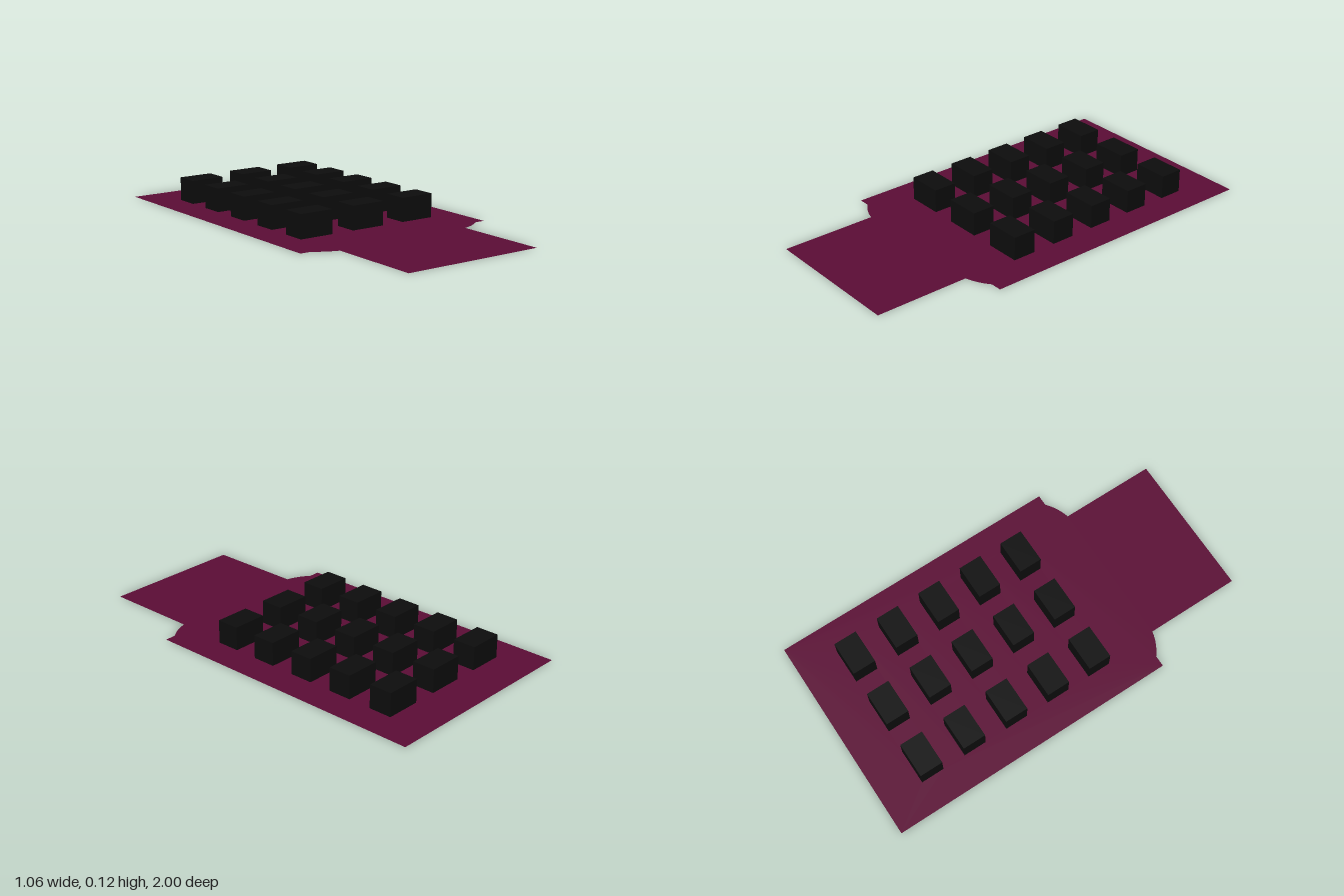
import * as THREE from 'three';

const BLOCK = { w: 0.176, h: 0.117, d: 0.117 };
const COLUMNS = [-0.294, 0, 0.294];
const ROWS = [-0.735, -0.501, -0.268, -0.034, 0.2];

// Outline drawn with shape y = -z, then laid flat
function floorGeometry() {
  const s = new THREE.Shape();
  s.moveTo(-0.532, 1);
  s.lineTo(-0.532, -0.468);
  s.lineTo(-0.477, -0.468);
  s.quadraticCurveTo(-0.427, -0.51, -0.363, -0.526); // rounded shoulder
  s.lineTo(-0.363, -1);
  s.lineTo(0.363, -1);
  s.lineTo(0.363, -0.526);
  s.quadraticCurveTo(0.427, -0.51, 0.477, -0.468);
  s.lineTo(0.532, -0.468);
  s.lineTo(0.532, 1);
  s.closePath();

  // Openings where the blocks stand, so their undersides stay visible
  for (const x of COLUMNS) for (const z of ROWS) {
    const hw = BLOCK.w / 2, hd = BLOCK.d / 2;
    s.holes.push(new THREE.Path([
      new THREE.Vector2(x - hw, -z - hd),
      new THREE.Vector2(x - hw, -z + hd),
      new THREE.Vector2(x + hw, -z + hd),
      new THREE.Vector2(x + hw, -z - hd),
    ]));
  }
  return new THREE.ShapeGeometry(s, 8).rotateX(-Math.PI / 2);
}

export function createModel() {
  const model = new THREE.Group();
  model.name = 'floorWithBlocks';

  // Thin floor sheet
  const floor = new THREE.Mesh(
    floorGeometry(),
    new THREE.MeshStandardMaterial({ color: 0x5c0d36, side: THREE.DoubleSide })
  );
  floor.name = 'floor';
  model.add(floor);

  // Grid of blocks, three across and five deep
  const blocks = new THREE.Group();
  blocks.name = 'blocks';
  const geometry = new THREE.BoxGeometry(BLOCK.w, BLOCK.h, BLOCK.d);
  const material = new THREE.MeshStandardMaterial({ color: 0x0d0d0d });
  ROWS.forEach((z, row) => COLUMNS.forEach((x, column) => {
    const block = new THREE.Mesh(geometry, material);
    block.name = `block row ${row + 1} column ${column + 1}`;
    block.position.set(x, BLOCK.h / 2, z);
    blocks.add(block);
  }));
  model.add(blocks);

  return model;
}
